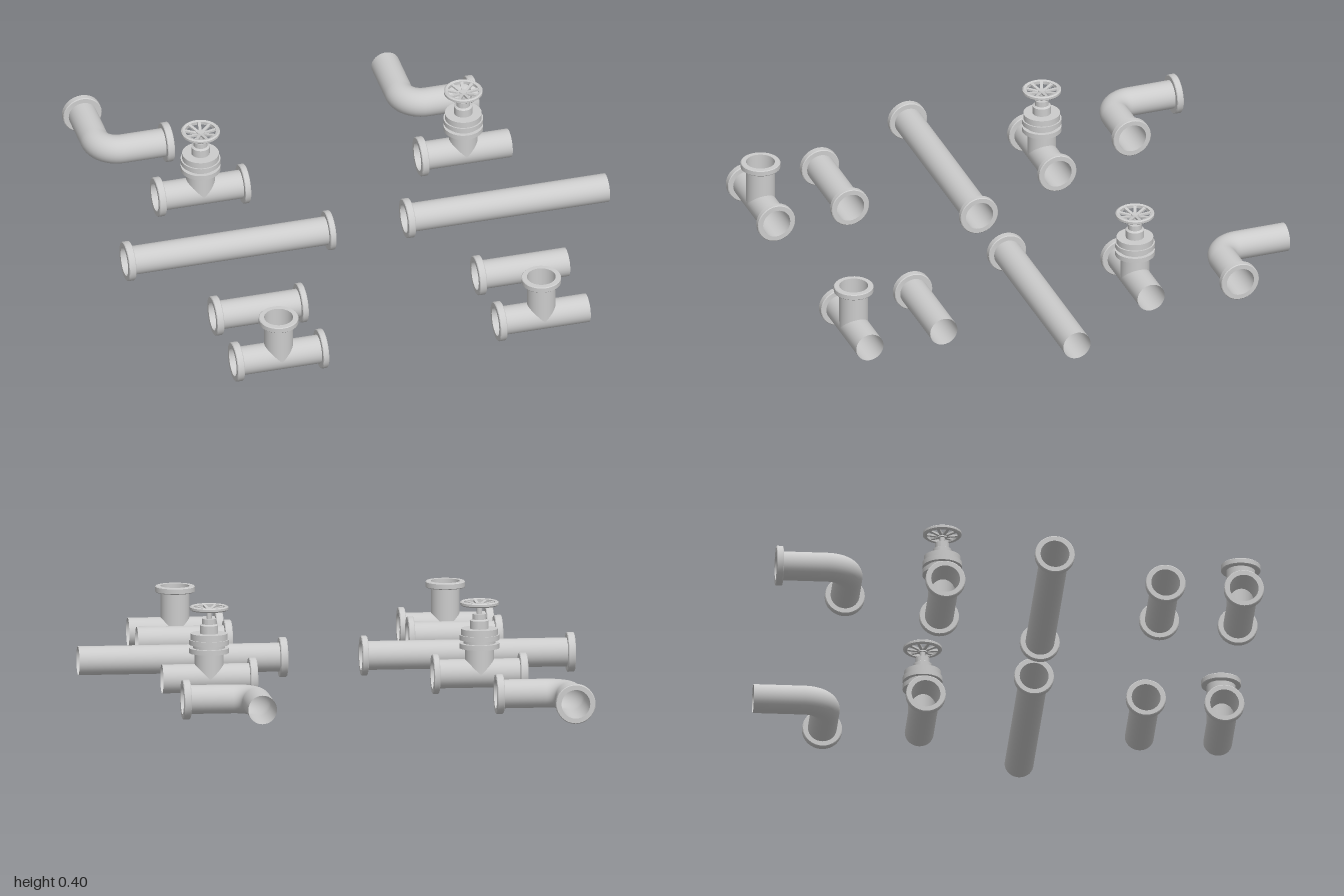
import * as THREE from 'three';
import { toCreasedNormals } from 'three/addons/utils/BufferGeometryUtils.js';

const R = 0.058;        // pipe radius
const FR = 0.08;        // flange radius
const SIDES = 32;
const mat = new THREE.MeshStandardMaterial({ color: 0xcccccc, side: THREE.DoubleSide });

function add(parent, name, geometry, x = 0, y = 0, z = 0) {
  const mesh = new THREE.Mesh(geometry, mat);
  mesh.name = name;
  mesh.position.set(x, y, z);
  parent.add(mesh);
  return mesh;
}

function group(parent, name, x, y, z) {
  const g = new THREE.Group();
  g.name = name;
  g.position.set(x, y, z);
  parent.add(g);
  return g;
}

function lathe(points) {
  const pts = points.map(([r, y]) => new THREE.Vector2(r, y));
  return toCreasedNormals(new THREE.LatheGeometry(pts, SIDES), 0.6);
}

// Open tube along +y from a to b
function tube(a, b) {
  return new THREE.CylinderGeometry(R, R, b - a, SIDES, 1, true).translate(0, (a + b) / 2, 0);
}

// Ring flange along +y from a to b, with a small chamfer
function flange(a, b) {
  const c = 0.003;
  return lathe([[R, a], [FR - c, a], [FR, a + c], [FR, b - c], [FR - c, b], [R, b], [R, a]]);
}

const alongX = (g) => g.rotateZ(-Math.PI / 2);
const alongZ = (g) => g.rotateX(Math.PI / 2);

// End flanges of a run from x0 to x1; the second one is optional
function endFlanges(g, x0, x1, both) {
  add(g, 'leftFlange', alongX(flange(x0, x0 + 0.03)));
  if (both) add(g, 'rightFlange', alongX(flange(x1 - 0.025, x1)));
}

function straightPipe(parent, name, x0, x1, y, z, both) {
  const g = group(parent, name, (x0 + x1) / 2, y, z);
  const h = (x1 - x0) / 2;
  add(g, 'pipe', alongX(tube(-h, h)));
  endFlanges(g, -h, h, both);
}

// Run with a mitred upright branch of equal radius
function teeBody(g, h, top, both) {
  for (const s of [-1, 1]) {
    const half = alongX(s < 0 ? tube(-h, 0) : tube(0, h));
    const p = half.attributes.position;
    for (let i = 0; i < p.count; i++)
      if (Math.abs(p.getX(i)) < 1e-5) p.setX(i, s * Math.max(0, p.getY(i)));
    add(g, s < 0 ? 'runLeft' : 'runRight', half);
  }
  const branch = tube(0, top);
  const p = branch.attributes.position;
  for (let i = 0; i < p.count; i++)
    if (p.getY(i) < 1e-5) p.setY(i, Math.abs(p.getX(i)));
  add(g, 'branch', branch);
  endFlanges(g, -h, h, both);
}

function tee(parent, x, both) {
  const g = group(parent, 'teePipe', x, 0.102, 0.905);
  teeBody(g, 0.19, 0.185, both);
  add(g, 'branchFlange', flange(0.16, 0.185));
}

function valve(parent, x, both) {
  const g = group(parent, 'valvePipe', x, 0.103, -0.294);
  teeBody(g, 0.19, 0.106, both);

  // Stacked collars, bonnet and stem
  add(g, 'bonnet', lathe([
    [R, 0.103], [FR, 0.103], [FR, 0.123], [0.064, 0.123], [0.064, 0.137], [FR, 0.137],
    [FR, 0.157], [0.074, 0.157], [0.074, 0.182], [0.037, 0.182], [0.037, 0.215],
    [0.028, 0.22], [0.028, 0.242], [0.011, 0.242], [0.011, 0.272], [0, 0.272],
  ]));

  // Hand wheel with a dished set of spokes
  const wheel = group(g, 'handWheel', 0, 0.283, 0);
  add(wheel, 'rim', lathe([
    [0.062, -0.006], [0.072, -0.008], [0.078, -0.003], [0.078, 0.006],
    [0.072, 0.01], [0.062, 0.007], [0.062, -0.006],
  ]));
  add(wheel, 'hub', new THREE.CylinderGeometry(0.015, 0.019, 0.018, 16), 0, -0.007, 0);
  const n = 9;
  for (let i = 0; i < n; i++) {
    const spoke = new THREE.BoxGeometry(0.058, 0.008, 0.012);
    spoke.rotateZ(0.18).translate(0.038, -0.003, 0).rotateY((i * 2 * Math.PI) / n);
    add(wheel, 'spoke', spoke);
  }
}

// Bend from -z to +x; the corner of its centre lines is the group origin
function elbow(parent, x, both) {
  const bend = 0.09, armX = 0.29, armZ = 0.297;
  const g = group(parent, 'elbowPipe', x, 0.081, -0.688);
  add(g, 'armX', alongX(tube(bend, armX)));
  add(g, 'armZ', alongZ(tube(-armZ, -bend)));
  const quarter = new THREE.TorusGeometry(bend, R, SIDES, 12, Math.PI / 2);
  quarter.rotateZ(Math.PI / 2).rotateX(Math.PI / 2).translate(bend, 0, -bend);
  add(g, 'bend', quarter);
  add(g, 'endFlange', alongX(flange(armX - 0.03, armX)));
  if (both) add(g, 'backFlange', alongZ(flange(-armZ, -armZ + 0.028)));
}

export function createModel() {
  const model = new THREE.Group();
  model.name = 'pipeSet';

  // One column flanged at both ends, one with a plain end
  straightPipe(model, 'longPipe', -1, -0.14, 0.115, 0.128, true);
  straightPipe(model, 'longPipe', 0.16, 1, 0.115, 0.128, false);
  straightPipe(model, 'shortPipe', -0.76, -0.38, 0.115, 0.59, true);
  straightPipe(model, 'shortPipe', 0.33, 0.71, 0.115, 0.59, false);
  for (const [x, elbowX, both] of [[-0.57, -0.88, true], [0.52, 0.383, false]]) {
    tee(model, x, both);
    valve(model, x, both);
    elbow(model, elbowX, both);
  }
  return model;
}
